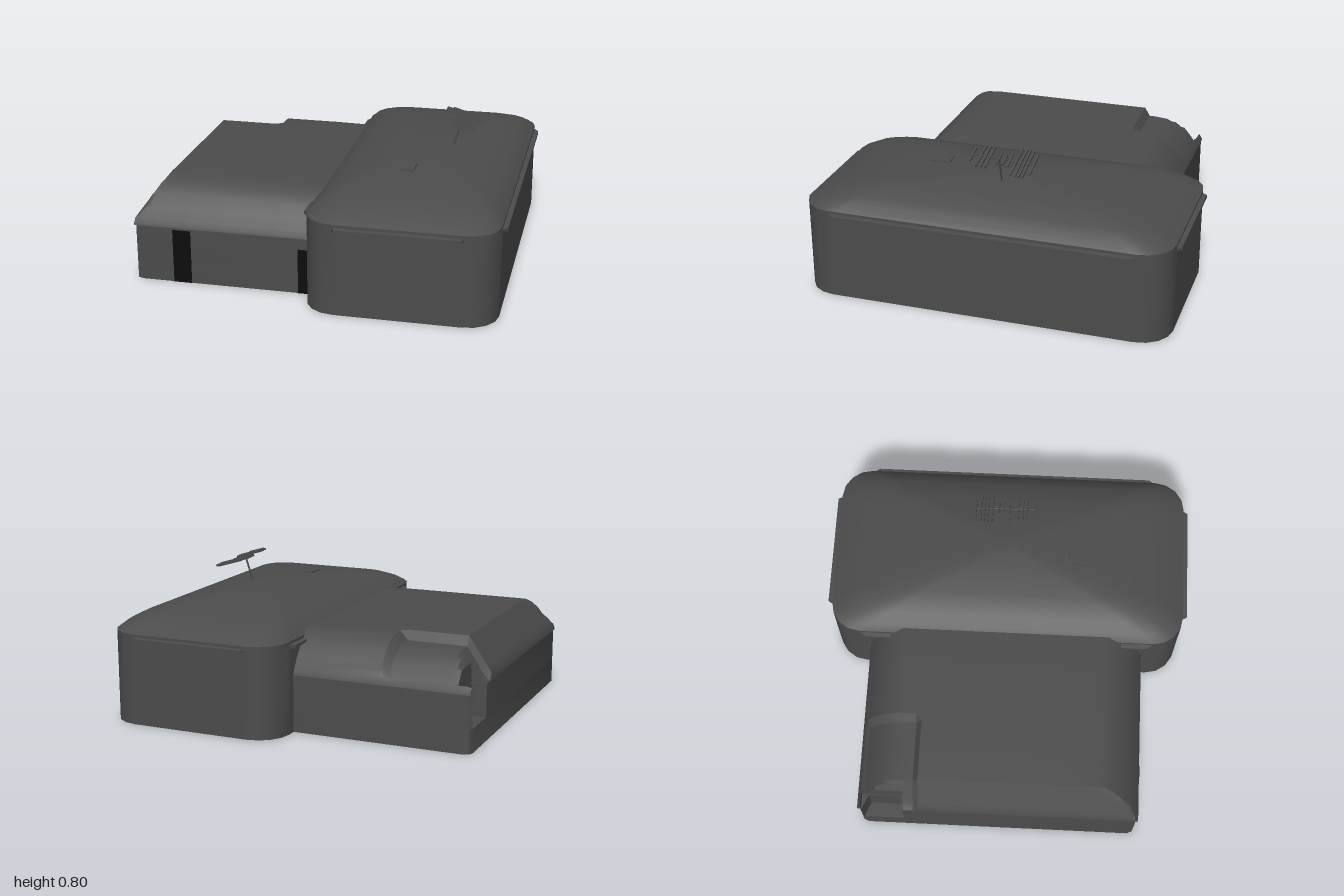
import * as THREE from 'three';
import { toCreasedNormals } from 'three/addons/utils/BufferGeometryUtils.js';

const grey = new THREE.MeshStandardMaterial({ color: 0x4c4c4c, side: THREE.DoubleSide });
const black = new THREE.MeshStandardMaterial({ color: 0x0c0c0c });

function add(parent, name, geometry, material = grey) {
  const mesh = new THREE.Mesh(geometry, material);
  mesh.name = name;
  parent.add(mesh);
  return mesh;
}

function box(parent, name, size, pos, material) {
  const mesh = add(parent, name, new THREE.BoxGeometry(...size), material);
  mesh.position.set(...pos);
  return mesh;
}

function indexed(positions, index, crease) {
  const g = new THREE.BufferGeometry();
  g.setAttribute('position', new THREE.Float32BufferAttribute(positions, 3));
  g.setIndex(index);
  return toCreasedNormals(g, crease);
}

// Rounded rectangle ring; "groove" pushes in the straight runs but not the corners
function ring({ hx, hz, r, y, groove = 0 }) {
  const pts = [], steps = 4;
  const corners = [[1, 1], [-1, 1], [-1, -1], [1, -1]];
  corners.forEach(([sx, sz], k) => {
    for (let i = 0; i <= steps; i++) {
      const a = (k + i / steps) * Math.PI / 2;
      pts.push([sx * (hx - r) + r * Math.cos(a), y, sz * (hz - r) + r * Math.sin(a)]);
    }
    // two points on the straight run that follows this corner
    const dx = [-1, 0, 1, 0][k], dz = [0, -1, 0, 1][k];
    const len = 2 * ((dx ? hx : hz) - r);
    const [px, , pz] = pts[pts.length - 1];
    for (const t of [0.02, 0.98]) {
      pts.push([px + dx * len * t + dz * groove, y, pz + dz * len * t - dx * groove]);
    }
  });
  return pts;
}

function loft(sections, crease) {
  const rings = sections.map(ring), n = rings[0].length, index = [];
  for (let j = 0; j < rings.length - 1; j++) {
    for (let i = 0; i < n; i++) {
      const a = j * n + i, b = j * n + (i + 1) % n;
      index.push(a, a + n, b, b, a + n, b + n);
    }
  }
  const pos = rings.flat(2), top = (rings.length - 1) * n;
  for (let i = 1; i < n - 1; i++) {
    index.push(0, i, i + 1, top, top + i + 1, top + i);
  }
  return indexed(pos, index, crease);
}

// Piecewise-linear profile lookup
function profile(points, t) {
  for (let i = 1; i < points.length; i++) {
    const [a, ya] = points[i - 1], [b, yb] = points[i];
    if (t <= b) return ya + (yb - ya) * Math.max(0, (t - a) / (b - a));
  }
  return points[points.length - 1][1];
}

// Height of the annex roof, with the shallow sunken bay and the corner notch
const roofX = [[-1, 0.31], [-0.995, 0.345], [-0.87, 0.53], [-0.2, 0.53], [0.1, 0.515]];
const roofZ = [[0, 0.31], [0.005, 0.325], [0.05, 0.4], [0.1, 0.46], [0.15, 0.5], [0.2, 0.523], [0.28, 0.53]];
function roofHeight(x, z) {
  if (x <= -0.919 && z >= -0.751 && z <= -0.529) return 0.13;
  const y = Math.min(profile(roofX, x), profile(roofZ, 0.78 - Math.abs(z)));
  const sink = profile([[-0.54, 1], [-0.5, 0]], x) * profile([[-0.76, 0], [-0.74, 1], [-0.47, 1], [-0.44, 0]], z);
  return Math.max(Math.min(y, 0.31), y - 0.05 * sink);
}

function annexRoof() {
  const xs = [-1, -0.995, -0.97, -0.94, -0.92, -0.915, -0.89, -0.87, -0.7, -0.54, -0.5, -0.2, 0, 0.1];
  const half = [0.78, 0.775, 0.76, 0.75, 0.73, 0.68, 0.63, 0.58, 0.5, 0.25];
  const zs = [...half.map(v => -v), -0.74, -0.53, -0.525, -0.47, -0.44, 0, ...half].sort((a, b) => a - b);
  const pos = [], index = [], n = zs.length;
  for (const x of xs) {
    for (const z of zs) {
      const corner = x === -1 && Math.abs(z) === 0.78;
      pos.push(corner ? -0.985 : x, roofHeight(x, z), corner ? Math.sign(z) * 0.765 : z);
    }
  }
  for (let i = 0; i < xs.length - 1; i++) {
    for (let j = 0; j < n - 1; j++) {
      const a = i * n + j, b = a + n;
      index.push(a, a + 1, b, b, a + 1, b + 1);
    }
  }
  return indexed(pos, index, 0.5);
}

// Wall block of the annex, optionally with the notch in its back corner
function annexWall(y0, y1, notched) {
  const pts = [[0.1, 0.78], [-0.96, 0.78], [-0.988, 0.768], [-1, 0.74]];
  if (notched) pts.push([-1, -0.53], [-0.92, -0.54], [-0.92, -0.72], [-1, -0.755]);
  else pts.push([-1, -0.74]);
  pts.push([-0.988, -0.768], [-0.96, -0.78], [0.1, -0.78]);
  const shape = new THREE.Shape(pts.map(([x, z]) => new THREE.Vector2(x, -z)));
  const g = new THREE.ExtrudeGeometry(shape, { depth: y1 - y0, bevelEnabled: false });
  g.rotateX(-Math.PI / 2).translate(0, y0, 0);
  return toCreasedNormals(g, 0.6);
}

function rod(parent, name, from, to, radius) {
  const path = new THREE.LineCurve3(new THREE.Vector3(...from), new THREE.Vector3(...to));
  return add(parent, name, new THREE.TubeGeometry(path, 1, radius, 6), grey);
}

export function createModel() {
  const model = new THREE.Group();
  model.name = 'building';

  // Main hall: walls, eave groove and domed roof
  const hall = new THREE.Group();
  hall.name = 'mainHall';
  hall.position.x = 0.485;
  model.add(hall);
  const full = { hx: 0.505, hz: 1, r: 0.17 };
  add(hall, 'hallWalls', loft([
    { ...full, y: 0 }, { ...full, y: 0.462 },
    { ...full, y: 0.464, groove: 0.025 }, { ...full, y: 0.48, groove: 0.025 },
    { ...full, y: 0.483 }, { ...full, y: 0.498 },
  ], 0.6));
  add(hall, 'hallRoof', loft([
    { ...full, y: 0.498 },
    { hx: 0.47, hz: 0.93, r: 0.16, y: 0.535 },
    { hx: 0.41, hz: 0.83, r: 0.14, y: 0.57 },
    { hx: 0.29, hz: 0.6, r: 0.1, y: 0.607 },
    { hx: 0.03, hz: 0.06, r: 0.02, y: 0.633 },
  ], 0.5));

  // Lower annex
  const annex = new THREE.Group();
  annex.name = 'annex';
  model.add(annex);
  add(annex, 'annexBase', annexWall(0, 0.13, false));
  add(annex, 'annexWalls', annexWall(0.13, 0.31, true));
  add(annex, 'annexRoof', annexRoof());
  box(annex, 'door', [0.1, 0.3, 0.04], [-0.73, 0.15, 0.763], black);
  box(annex, 'sideDoor', [0.075, 0.25, 0.04], [-0.05, 0.125, 0.763], black);

  // Roof hatch
  const hatch = box(model, 'roofHatch', [0.075, 0.025, 0.11], [0.43, 0.612, 0.395]);
  hatch.rotation.x = 0.045;

  // Antenna: mast, boom and tilted cross bars
  const antenna = new THREE.Group();
  antenna.name = 'antenna';
  model.add(antenna);
  rod(antenna, 'mast', [0.61, 0.62, -0.008], [0.655, 0.765, -0.01], 0.005);
  const array = new THREE.Group();
  array.name = 'antennaArray';
  array.position.set(0.655, 0.765, -0.03);
  array.rotation.set(-0.05, 0, -0.29);
  antenna.add(array);
  rod(array, 'boom', [0, 0, -0.17], [0, 0, 0.17], 0.004);
  const bars = [[-0.2, 0.16], [-0.17, 0.22], [-0.15, 0.22], [-0.13, 0.22], [-0.105, 0.22], [-0.07, 0.09],
    [-0.04, 0.09], [-0.01, 0.09], [0.04, 0.17], [0.065, 0.17], [0.09, 0.17], [0.135, 0.1]];
  for (const [z, length] of bars) {
    box(array, 'crossBar', [length, 0.012, 0.008], [0, 0, z + 0.03]);
  }
  return model;
}
